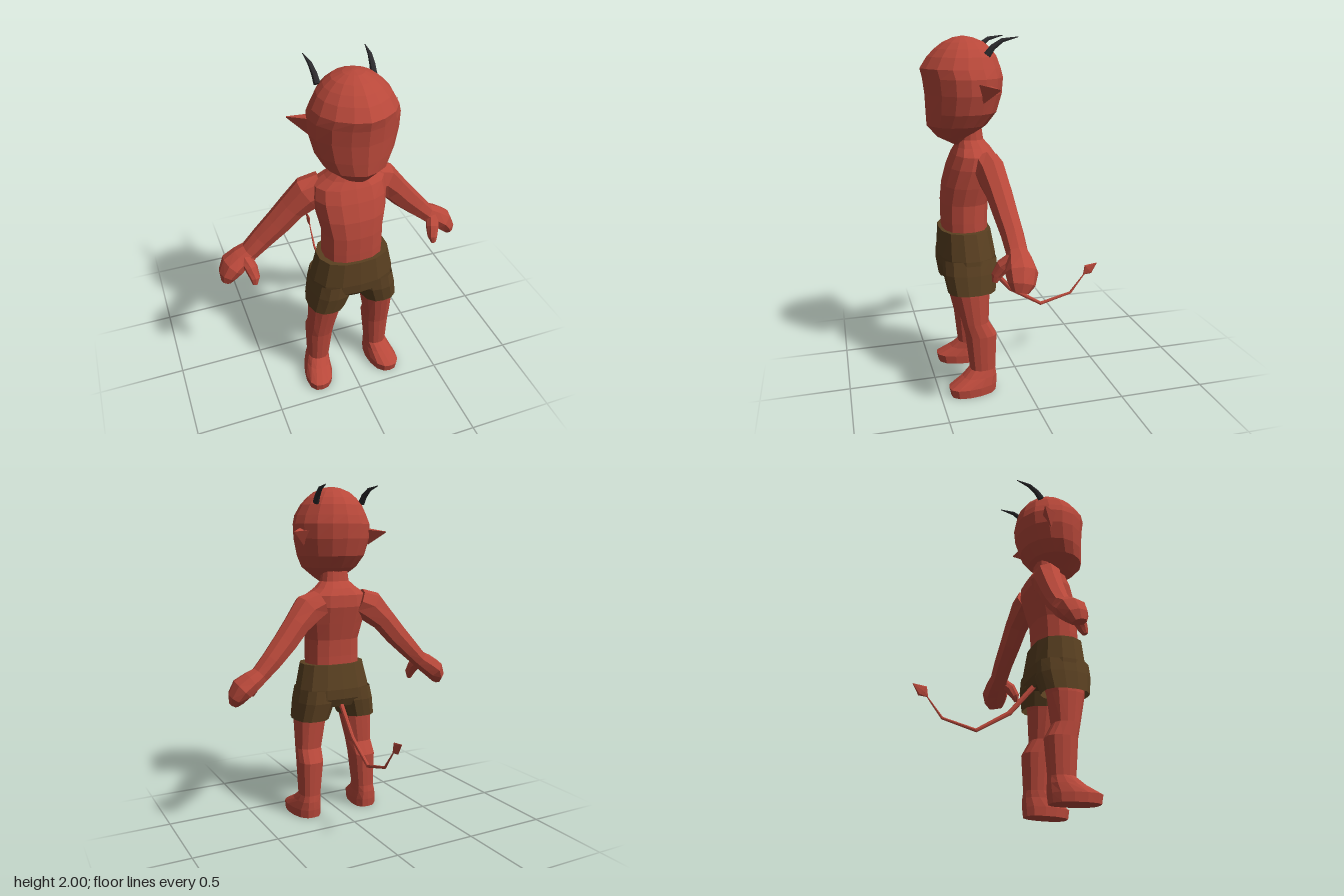
import * as THREE from 'three';

// Half outlines [sideways, forward]; mirrored to make a full cross-section
const HEAD = [[0, 1], [0.35, 0.9], [0.7, 0.68], [0.93, 0.35], [1, 0], [0.92, -0.38], [0.71, -0.71], [0.38, -0.92], [0, -1]];
const BODY = [[0, 1], [0.45, 0.95], [0.82, 0.7], [1, 0.25], [1, -0.25], [0.82, -0.72], [0.45, -0.97], [0, -1]];
const LIMB = [[0, 1], [0.72, 0.75], [1, 0], [0.72, -0.75], [0, -1]];
const EAR = [[0, 0.65], [1, 0.8], [0, -1]];
const full = (half) => [...half, ...half.slice(1, -1).reverse().map(([s, f]) => [-s, f])];

// Skin a list of cross-sections with flat-shaded faces
function loft(rings, capStart = true, capEnd = true) {
  const n = rings[0].length, pos = [];
  const tri = (...pts) => pts.forEach((p) => pos.push(p.x, p.y, p.z));
  for (let r = 0; r < rings.length - 1; r++) {
    for (let i = 0; i < n; i++) {
      const j = (i + 1) % n;
      const a = rings[r][i], b = rings[r][j], c = rings[r + 1][j], d = rings[r + 1][i];
      tri(a, b, c);
      tri(a, c, d);
    }
  }
  const cap = (ring, flip) => {
    const mid = ring.reduce((m, p) => m.add(p), new THREE.Vector3()).divideScalar(n);
    ring.forEach((p, i) => {
      const q = ring[(i + 1) % n];
      if (flip) tri(mid, q, p); else tri(mid, p, q);
    });
  };
  if (capStart) cap(rings[0], true);
  if (capEnd) cap(rings[rings.length - 1], false);
  const g = new THREE.BufferGeometry();
  g.setAttribute('position', new THREE.Float32BufferAttribute(pos, 3));
  g.computeVertexNormals();
  return g;
}

// Level sections, bottom to top: [y, half width, back z, front z, centre x, outward splay]
function stack(half, levels, capStart, capEnd) {
  return loft(levels.map(([y, w, zb, zf, cx = 0, splay = 0]) => full(half).map(([s, f]) => {
    const dz = f * (zf - zb) / 2;
    return new THREE.Vector3(cx + s * w + splay * dz, y, (zf + zb) / 2 + dz);
  })), capStart, capEnd);
}

// Sections across a path: [x, y, z, thickness radius, side radius]
function sweep(half, side, stations) {
  const pts = stations.map((s) => new THREE.Vector3(s[0], s[1], s[2]));
  return loft(stations.map((s, i) => {
    const d = pts[Math.min(i + 1, pts.length - 1)].clone().sub(pts[Math.max(i - 1, 0)]).normalize();
    const e2 = side.clone().addScaledVector(d, -side.dot(d)).normalize();
    const e1 = e2.clone().cross(d);
    return full(half).map(([u, v]) => pts[i].clone().addScaledVector(e1, v * s[3]).addScaledVector(e2, u * s[4]));
  }));
}

// Mirror across x, swapping corners so faces still point outward
function mirrored(geo) {
  const g = geo.clone(), p = g.attributes.position;
  const v = [0, 1, 2].map(() => new THREE.Vector3());
  for (let i = 0; i < p.count; i += 3) {
    v.forEach((q, k) => q.fromBufferAttribute(p, i + k));
    [v[0], v[2], v[1]].forEach((q, k) => p.setXYZ(i + k, -q.x, q.y, q.z));
  }
  g.computeVertexNormals();
  return g;
}

export function createModel() {
  const model = new THREE.Group();
  const material = (name, color, extra = {}) => {
    const m = new THREE.MeshStandardMaterial({ color, ...extra });
    m.name = name;
    return m;
  };
  const skin = material('red skin', 0xb8483a);
  const cloth = material('brown cloth', 0x5a4021, { side: THREE.DoubleSide });
  const horn = material('dark horn', 0x2b2a2d);
  const add = (name, geo, mat) => {
    const mesh = new THREE.Mesh(geo, mat);
    mesh.name = name;
    model.add(mesh);
  };
  const pair = (name, geo, mat) => {
    add('left' + name, geo, mat);
    add('right' + name, mirrored(geo), mat);
  };
  const X = new THREE.Vector3(1, 0, 0), Z = new THREE.Vector3(0, 0, 1);

  // Head with a creased face and pointed chin
  add('head', stack(HEAD, [
    [1.42, 0.03, 0.29, 0.35], [1.465, 0.085, 0.25, 0.44], [1.53, 0.168, 0.165, 0.497],
    [1.6, 0.207, 0.11, 0.5], [1.7, 0.232, 0.08, 0.503], [1.785, 0.234, 0.072, 0.513],
    [1.835, 0.217, 0.083, 0.525], [1.895, 0.185, 0.105, 0.485], [1.935, 0.15, 0.135, 0.445],
    [1.968, 0.11, 0.175, 0.4], [1.992, 0.055, 0.235, 0.345], [2.0, 0.01, 0.28, 0.3],
  ]), skin);
  pair('Ear', sweep(EAR, Z, [[0.2, 1.715, 0.225, 0.055, 0.045], [0.3, 1.738, 0.155, 0.003, 0.003]]), skin);
  pair('Horn', sweep(LIMB, X, [
    [0.148, 1.905, 0.19, 0.02, 0.018], [0.151, 1.945, 0.16, 0.016, 0.016],
    [0.157, 1.98, 0.11, 0.011, 0.012], [0.165, 1.997, 0.025, 0.002, 0.002],
  ]), horn);

  // Neck and torso in one skin
  add('torso', stack(BODY, [
    [0.9, 0.165, 0.18, 0.43], [1.0, 0.166, 0.18, 0.432], [1.1, 0.165, 0.175, 0.432],
    [1.2, 0.186, 0.15, 0.42], [1.3, 0.2, 0.125, 0.39], [1.37, 0.19, 0.13, 0.36],
    [1.41, 0.13, 0.155, 0.34], [1.45, 0.088, 0.19, 0.325], [1.53, 0.078, 0.2, 0.31],
  ]), skin);

  // Arms, mitten hands and thumbs
  pair('Arm', sweep(LIMB, Z, [
    [0.13, 1.325, 0.2, 0.08, 0.08], [0.21, 1.29, 0.19, 0.098, 0.082], [0.29, 1.21, 0.17, 0.077, 0.074],
    [0.37, 1.115, 0.155, 0.072, 0.068], [0.46, 1.02, 0.14, 0.062, 0.062], [0.535, 0.945, 0.135, 0.052, 0.058],
    [0.585, 0.912, 0.135, 0.06, 0.072], [0.64, 0.875, 0.14, 0.064, 0.085],
    [0.675, 0.825, 0.15, 0.048, 0.07], [0.688, 0.788, 0.16, 0.026, 0.042],
  ]), skin);
  pair('Thumb', sweep(LIMB, Z, [
    [0.57, 0.93, 0.16, 0.035, 0.035], [0.55, 0.885, 0.215, 0.036, 0.036],
    [0.54, 0.835, 0.245, 0.028, 0.028], [0.545, 0.8, 0.255, 0.014, 0.014],
  ]), skin);

  // Legs with feet splayed outward
  pair('Leg', stack(BODY, [
    [0, 0.08, 0.175, 0.44, 0.207, 0.12], [0.05, 0.082, 0.17, 0.45, 0.207, 0.12],
    [0.1, 0.07, 0.17, 0.365, 0.197, 0.06], [0.14, 0.063, 0.175, 0.32, 0.188],
    [0.35, 0.077, 0.165, 0.342, 0.18], [0.43, 0.078, 0.21, 0.36, 0.175],
    [0.6, 0.093, 0.2, 0.4, 0.158], [0.72, 0.095, 0.18, 0.41, 0.14],
  ]), skin);

  // Shorts: hips and two open legs
  add('shortsHips', stack(BODY, [
    [0.69, 0.15, 0.165, 0.41], [0.74, 0.236, 0.142, 0.452], [0.8, 0.232, 0.14, 0.458], [0.95, 0.198, 0.165, 0.45],
  ]), cloth);
  pair('ShortsLeg', stack(BODY, [
    [0.61, 0.105, 0.165, 0.432, 0.157], [0.72, 0.116, 0.146, 0.452, 0.13], [0.8, 0.108, 0.15, 0.45, 0.12],
  ], false, false), cloth);

  // Bent tail with a flat spade tip
  add('tail', sweep(LIMB, X, [
    [0, 0.72, 0.19, 0.016, 0.015], [0, 0.525, 0.025, 0.014, 0.012], [0, 0.408, -0.165, 0.011, 0.01],
    [0, 0.458, -0.355, 0.008, 0.007], [0, 0.58, -0.45, 0.003, 0.003],
  ]), skin);
  add('tailSpade', sweep(LIMB, X, [
    [0, 0.57, -0.44, 0.004, 0.003], [0, 0.6, -0.468, 0.036, 0.008], [0, 0.636, -0.524, 0.002, 0.002],
  ]), skin);

  return model;
}
